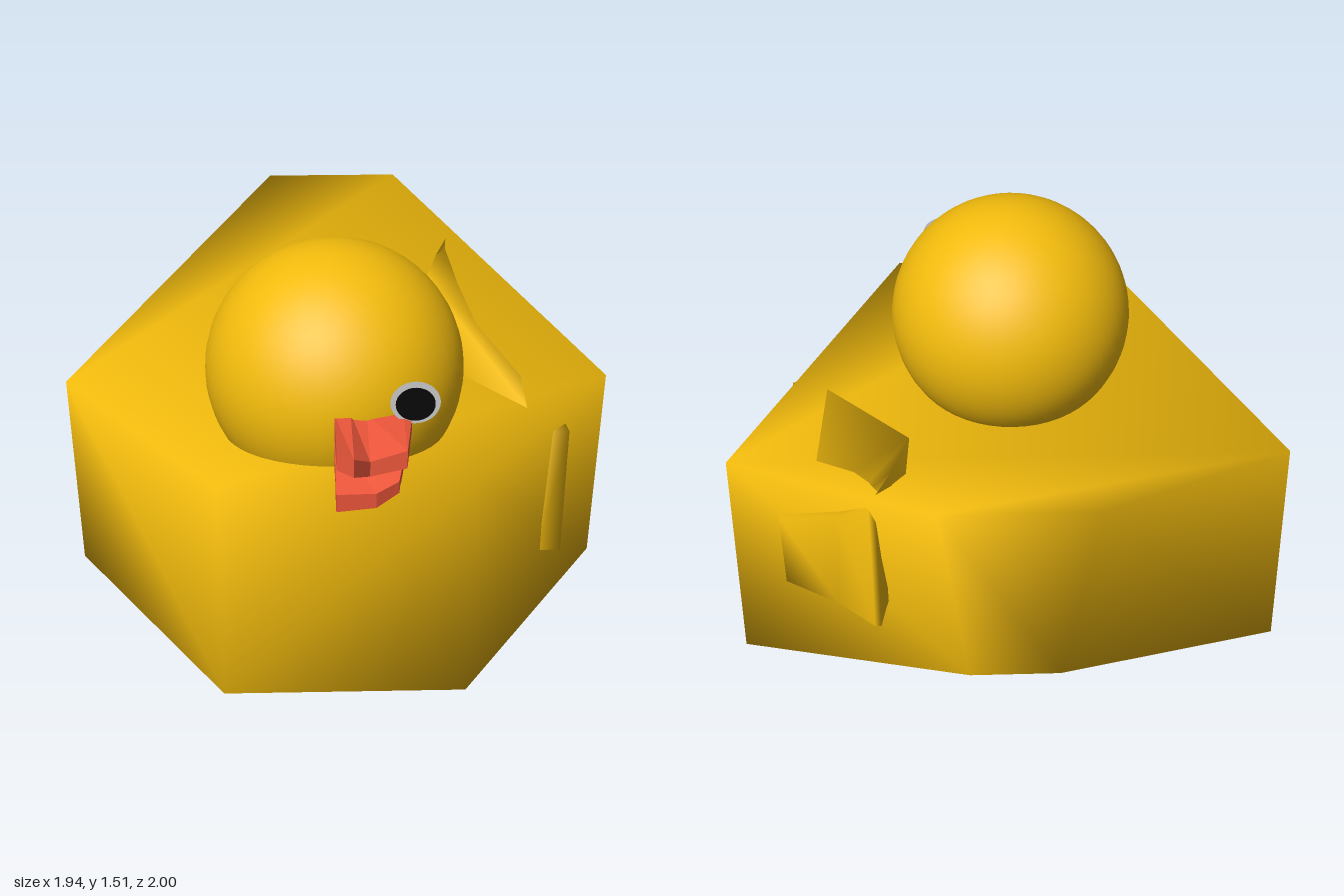
import * as THREE from 'three';

const yellow = new THREE.MeshStandardMaterial({ color: 0xf2bb0c, side: THREE.DoubleSide });
const orange = new THREE.MeshStandardMaterial({ color: 0xf0583c, flatShading: true, side: THREE.DoubleSide });
const grey = new THREE.MeshStandardMaterial({ color: 0xcccccc, side: THREE.DoubleSide });
const black = new THREE.MeshStandardMaterial({ color: 0x080808, side: THREE.DoubleSide });

// Smooth skin over four-cornered rings, counter-clockwise seen from the first ring's end
function loft(rings) {
  const index = [0, 1, 2, 0, 2, 3];
  for (let i = 0; i < rings.length - 1; i++) {
    for (let j = 0; j < 4; j++) {
      const a = i * 4 + j, b = i * 4 + (j + 1) % 4, c = a + 4, d = b + 4;
      index.push(a, c, b, b, c, d);
    }
  }
  const e = (rings.length - 1) * 4;
  index.push(e, e + 2, e + 1, e, e + 3, e + 2);
  const geometry = new THREE.BufferGeometry();
  geometry.setAttribute('position', new THREE.Float32BufferAttribute(rings.flat(2), 3));
  geometry.setIndex(index);
  geometry.computeVertexNormals();
  return geometry;
}

export function createModel() {
  const model = new THREE.Group();
  const add = (name, geometry, material, x = 0, y = 0, z = 0) => {
    const mesh = new THREE.Mesh(geometry, material);
    mesh.name = name;
    mesh.position.set(x, y, z);
    model.add(mesh);
    return mesh;
  };

  // Body: chest, wide middle, raised tail [top x, y, z, bottom x, y, z]
  const body = [
    [0.39, 0.975, 0.86, 0.39, 0.19, 0.86],
    [0.97, 0.795, -0.15, 0.97, 0, -0.21],
    [0.24, 1.24, -1, 0.15, 0.34, -0.74],
  ].map(([tx, ty, tz, bx, by, bz]) => [[tx, ty, tz], [-tx, ty, tz], [-bx, by, bz], [bx, by, bz]]);
  add('body', loft(body), yellow);

  // Head
  add('head', new THREE.SphereGeometry(0.42, 48, 32), yellow, -0.02, 1.09, 0.31);

  // Wing on the left side, bent around the widest part of the body
  add('wing', loft([
    [[0.77, 0.82, 0.29], [0.69, 0.82, 0.29], [0.69, 0.34, 0.29], [0.77, 0.34, 0.29]],
    [[0.79, 0.66, -0.29], [0.33, 1.07, -0.4], [0.4, 0.45, -0.4], [0.78, 0.41, -0.33]],
    [[0.56, 0.93, -0.62], [0.38, 1.08, -0.58], [0.42, 0.53, -0.6], [0.58, 0.52, -0.57]],
    [[0.45, 1.06, -0.73], [0.43, 1.09, -0.72], [0.43, 0.6, -0.77], [0.45, 0.6, -0.77]],
  ]), yellow);

  // Beak: columns from the left corner to the middle [x, root z, tip z, root top, tip top, tip bottom, root bottom]
  const lip = (columns) => loft(columns.map(([x, rz, tz, rt, tt, tb, rb]) =>
    [[x, rt, rz], [x, tt, tz], [x, tb, tz], [x, rb, rz]]));
  add('upperBeak', lip([
    [0.21, 0.66, 0.67, 1.10, 1.11, 1.06, 1.06],
    [0.18, 0.66, 0.92, 1.12, 1.13, 1.07, 1.06],
    [0.07, 0.68, 0.93, 1.12, 1.10, 1.05, 1.05],
    [0.02, 0.69, 1.00, 1.13, 1.15, 1.09, 1.06],
    [-0.03, 0.70, 0.99, 1.13, 1.17, 1.11, 1.06],
  ]), orange);
  add('lowerBeak', lip([
    [0.20, 0.66, 0.68, 1.07, 1.05, 1.02, 1.02],
    [0.16, 0.66, 0.88, 1.06, 1.00, 0.96, 0.96],
    [0.09, 0.68, 0.93, 1.06, 0.99, 0.94, 0.94],
    [-0.03, 0.69, 0.95, 1.06, 1.00, 0.94, 0.94],
  ]), orange);

  // Flat eye facing forward
  add('eyeRing', new THREE.CircleGeometry(0.072, 32), grey, 0.215, 1.178, 0.718).scale.x = 1.06;
  add('pupil', new THREE.CircleGeometry(0.057, 32), black, 0.215, 1.175, 0.723).scale.x = 1.06;

  return model;
}
